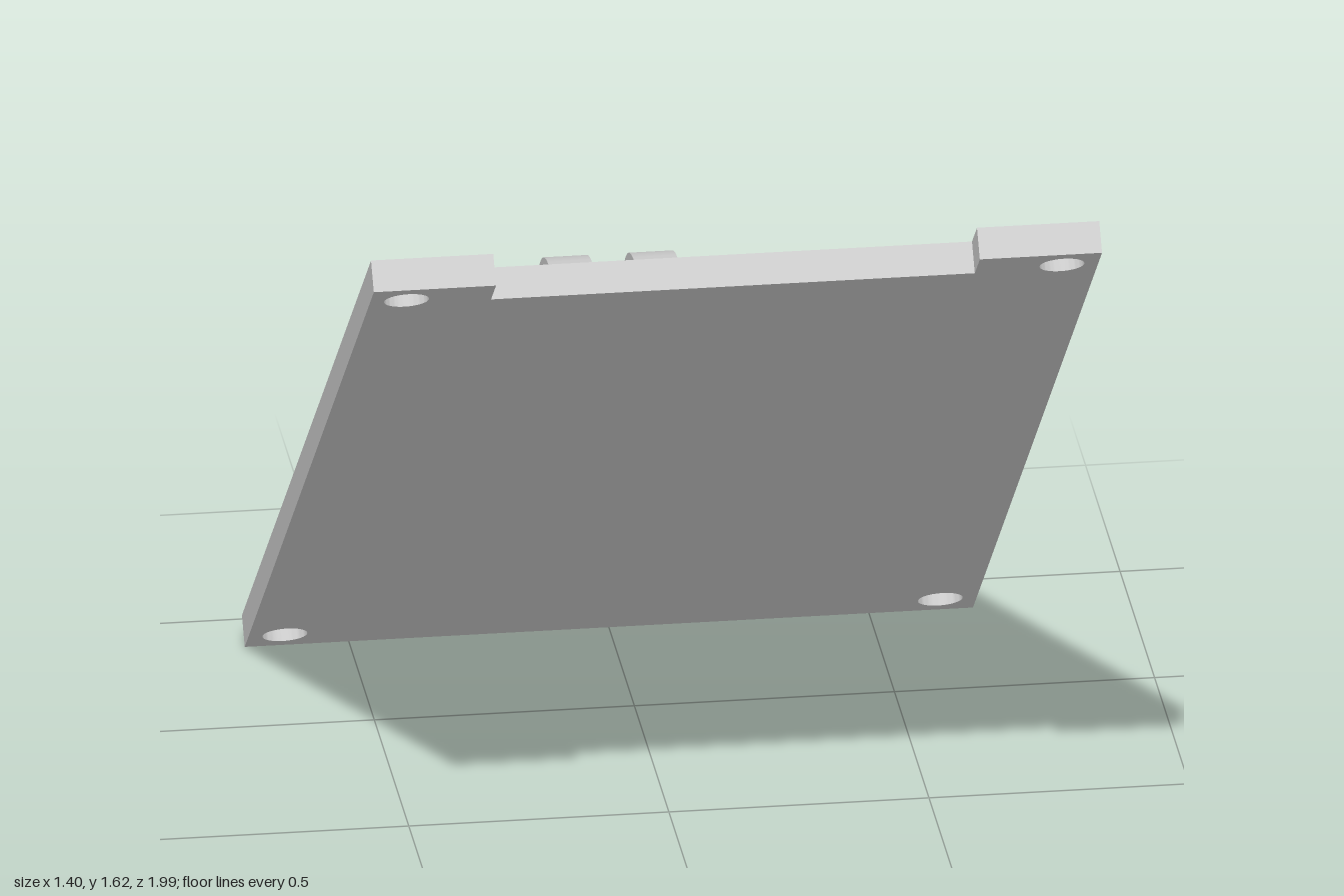
import * as THREE from 'three';
import { toCreasedNormals } from 'three/addons/utils/BufferGeometryUtils.js';

const material = new THREE.MeshStandardMaterial({ color: 0xcccccc });

function extrude(shape, depth) {
  const geo = new THREE.ExtrudeGeometry(shape, { depth, bevelEnabled: false, curveSegments: 32 });
  return toCreasedNormals(geo, Math.PI / 6);
}

function addHole(shape, x, y, r) {
  shape.holes.push(new THREE.Path().absarc(x, y, r, 0, Math.PI * 2, true));
}

function addMesh(parent, name, geo) {
  const mesh = new THREE.Mesh(geo, material);
  mesh.name = name;
  parent.add(mesh);
}

export function createModel() {
  const model = new THREE.Group();
  model.name = 'tiltedMountPlate';

  // Tilted frame: y is the plate normal, z runs up along the plate
  const tilted = new THREE.Group();
  tilted.name = 'tiltedAssembly';
  tilted.rotation.x = THREE.MathUtils.degToRad(-40);
  tilted.position.z = -0.87;
  model.add(tilted);

  // Plate with a notched upper edge and four corner holes
  const W = 0.7, L = 2.442, T = 0.063, notchX = 0.465, notchZ = L - 0.095;
  const plate = new THREE.Shape([
    [-W, 0], [W, 0], [W, L], [notchX, L], [notchX, notchZ],
    [-notchX, notchZ], [-notchX, L], [-W, L],
  ].map(([x, y]) => new THREE.Vector2(x, y)));
  for (const x of [-0.63, 0.63])
    for (const z of [0.07, L - 0.07]) addHole(plate, x, z, 0.043);
  addMesh(tilted, 'plate', extrude(plate, T).rotateX(Math.PI / 2).translate(0, T, 0));

  // Mount base with rounded upper side edges
  const B = 0.187, top = 0.207, r = 0.027, z0 = 0.25, z1 = 0.624;
  const base = new THREE.Shape();
  base.moveTo(-B, T);
  base.lineTo(B, T);
  base.absarc(B - r, top - r, r, 0, Math.PI / 2, false);
  base.absarc(-B + r, top - r, r, Math.PI / 2, Math.PI, false);
  base.closePath();
  addMesh(tilted, 'mountBase', extrude(base, z1 - z0).translate(0, 0, z0));

  // Pair of round-ended prongs with a pivot hole
  const mid = (z0 + z1) / 2, R = (z1 - z0) / 2, pivotY = 0.421, thick = 0.084;
  const prong = new THREE.Shape();
  prong.moveTo(z0, top - 0.01);
  prong.lineTo(z1, top - 0.01);
  prong.absarc(mid, pivotY, R, 0, Math.PI, false);
  prong.closePath();
  addHole(prong, mid, pivotY, 0.072);
  for (const side of [-1, 1]) {
    const geo = extrude(prong, thick).translate(0, 0, -thick / 2).rotateY(-Math.PI / 2);
    addMesh(tilted, side > 0 ? 'leftProng' : 'rightProng', geo.translate(side * 0.082, 0, 0));
  }

  return model;
}
